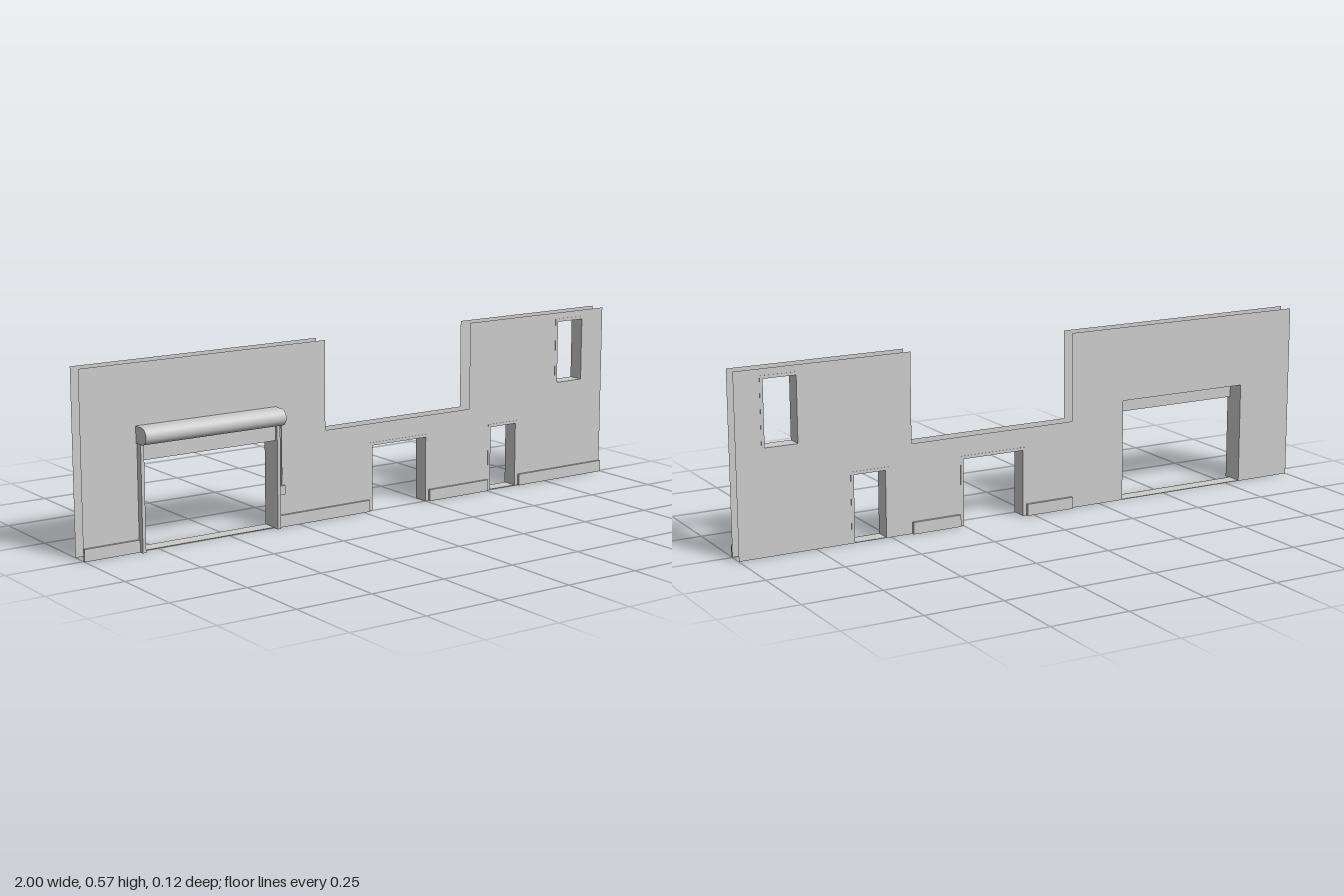
import * as THREE from 'three';

const BACK = -0.05; // z of the rear wall skin; the front skin is at z = 0
const material = new THREE.MeshStandardMaterial({ color: 0xcccccc, side: THREE.DoubleSide, flatShading: true });
const smooth = new THREE.MeshStandardMaterial({ color: 0xcccccc });

// Clear openings in the wall
const gate = { name: 'gate', x0: -0.803, x1: -0.338, y0: 0, y1: 0.331, sill: true, trim: false };
const wideDoor = { name: 'wideDoor', x0: 0.036, x1: 0.248, y0: 0, y1: 0.214, sill: false, trim: true };
const narrowDoor = { name: 'narrowDoor', x0: 0.517, x1: 0.623, y0: 0, y1: 0.214, sill: true, trim: true };
const win = { name: 'window', x0: 0.802, x1: 0.908, y0: 0.334, y1: 0.541, sill: true, trim: true };

function polygon(points) {
  return new THREE.Shape(points.map(([x, y]) => new THREE.Vector2(x, y)));
}

function rectangle(x0, x1, y0, y1) {
  return polygon([[x0, y0], [x1, y0], [x1, y1], [x0, y1]]);
}

export function createModel() {
  const group = new THREE.Group();

  function add(parent, name, geometry, mat = material) {
    const mesh = new THREE.Mesh(geometry, mat);
    mesh.name = name;
    parent.add(mesh);
    return mesh;
  }

  // Box given by its limits on each axis
  function box(parent, name, x0, x1, y0, y1, z0, z1) {
    const g = new THREE.BoxGeometry(x1 - x0, y1 - y0, z1 - z0);
    g.translate((x0 + x1) / 2, (y0 + y1) / 2, (z0 + z1) / 2);
    return add(parent, name, g);
  }

  // Surround of an opening: closed ring, or an arch when it reaches the floor
  function surround(parent, name, o, w, z0, z1) {
    const { x0, x1, y0, y1 } = o;
    let shape;
    if (y0 > 0) {
      shape = rectangle(x0 - w, x1 + w, y0 - w, y1 + w);
      shape.holes.push(rectangle(x0, x1, y0, y1));
    } else {
      shape = polygon([[x0 - w, 0], [x0, 0], [x0, y1], [x1, y1], [x1, 0],
        [x1 + w, 0], [x1 + w, y1 + w], [x0 - w, y1 + w]]);
    }
    const g = new THREE.ExtrudeGeometry(shape, { depth: z1 - z0, bevelEnabled: false });
    add(parent, name, g.translate(0, 0, z0));
  }

  // Two thin wall skins with a low middle section, door notches and a window hole
  const outline = [[-1, 0]];
  for (const d of [gate, wideDoor, narrowDoor]) {
    outline.push([d.x0, 0], [d.x0, d.y1], [d.x1, d.y1], [d.x1, 0]);
  }
  outline.push([1, 0], [1, 0.572], [0.427, 0.572], [0.427, 0.286], [-0.145, 0.286], [-0.145, 0.572], [-1, 0.572]);
  const wall = polygon(outline);
  wall.holes.push(rectangle(win.x0, win.x1, win.y0, win.y1));
  add(group, 'frontWall', new THREE.ShapeGeometry(wall));
  add(group, 'backWall', new THREE.ShapeGeometry(wall)).position.z = BACK;

  // Linings, thresholds and thin trims of the openings
  for (const o of [gate, wideDoor, narrowDoor, win]) {
    const frame = new THREE.Group();
    frame.name = o.name + 'Frame';
    group.add(frame);
    surround(frame, 'lining', o, 0.003, BACK, 0);
    if (o.trim) {
      surround(frame, 'frontTrim', o, 0.01, -0.002, 0.001);
      surround(frame, 'backTrim', o, 0.01, BACK - 0.001, BACK + 0.002);
    }
    if (o.sill && o.y0 === 0) box(frame, 'threshold', o.x0, o.x1, 0, 0.002, BACK, 0);
  }

  // Skirting boards
  for (const [x0, x1] of [[-1, -0.815], [-0.328, 0.022], [0.262, 0.503], [0.637, 1]]) {
    box(group, 'frontSkirting', x0, x1, 0, 0.038, 0, 0.008);
  }
  for (const [x0, x1] of [[-0.145, 0.022], [0.262, 0.427]]) {
    box(group, 'backSkirting', x0, x1, 0, 0.038, BACK - 0.009, BACK);
  }

  // Roller shutter: side rails, partly lowered curtain, round-nosed housing
  const shutter = new THREE.Group();
  shutter.name = 'rollerShutter';
  group.add(shutter);
  box(shutter, 'leftRail', gate.x1, gate.x1 + 0.011, 0, 0.335, 0, 0.022);
  box(shutter, 'rightRail', gate.x0 - 0.011, gate.x0, 0, 0.335, 0, 0.022);
  box(shutter, 'curtain', gate.x0, gate.x1, 0.28, 0.34, 0.008, 0.013);
  const r = 0.026;
  const nose = new THREE.Shape();
  nose.moveTo(0, -r);
  nose.lineTo(0.035, -r);
  nose.absarc(0.035, 0, r, -Math.PI / 2, Math.PI / 2, false);
  nose.lineTo(0, r);
  nose.closePath();
  const housing = new THREE.ExtrudeGeometry(nose, { depth: 0.488, bevelEnabled: false, curveSegments: 24 });
  housing.rotateY(-Math.PI / 2); // profile x becomes z, depth becomes -x
  add(shutter, 'housing', housing.translate(-0.329, 0.357, 0), smooth);

  // Control cable and switch box beside the gate
  const cablePath = new THREE.CatmullRomCurve3([
    [-0.332, 0.36, 0.002], [-0.32, 0.362, 0.002], [-0.312, 0.352, 0.002],
    [-0.31, 0.33, 0.002], [-0.31, 0.23, 0.002], [-0.31, 0.13, 0.002],
  ].map((p) => new THREE.Vector3(...p)));
  add(shutter, 'cable', new THREE.TubeGeometry(cablePath, 30, 0.002, 8), smooth);
  box(shutter, 'switchBox', -0.32, -0.3, 0.103, 0.132, 0, 0.007);

  return group;
}
